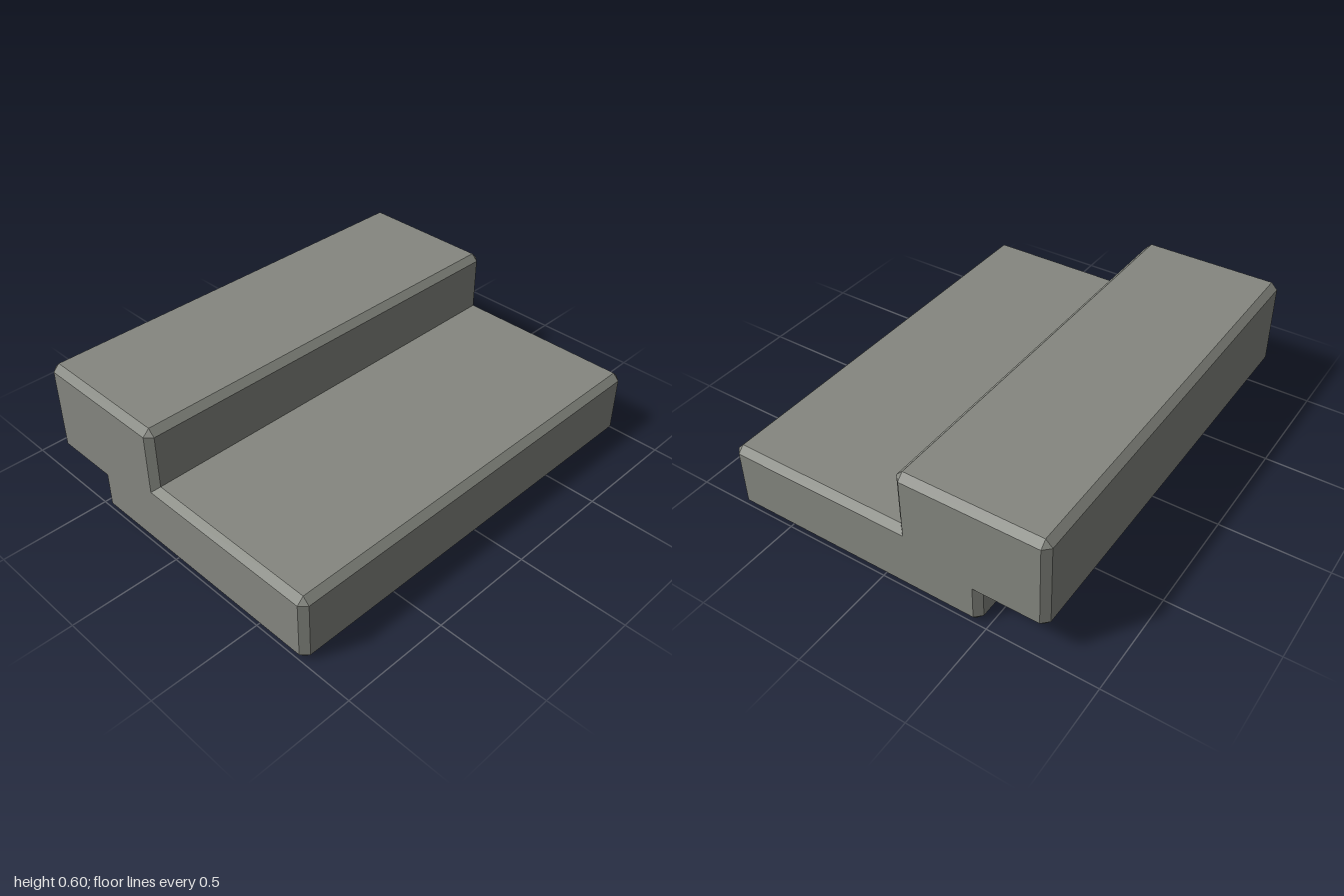
import * as THREE from 'three';

const BEVEL = 0.03;
const HALF_WIDTH = 1;

// Side profile as [-z, y], counterclockwise seen from +x
const PROFILE = [
  [-0.77, 0], [0.47, 0], [0.47, 0.16], [0.77, 0.16],
  [0.77, 0.6], [0.09, 0.6], [0.09, 0.32], [-0.77, 0.32],
].map(([u, y]) => new THREE.Vector2(u, y));

// Extrudes a right-angled profile along x, chamfering its convex edges and both ends
function chamferedExtrusion(profile, halfWidth, bevel) {
  const outer = [], inner = [], cap = [];
  profile.forEach((p, i) => {
    const n = profile.length;
    const d1 = p.clone().sub(profile[(i + n - 1) % n]).normalize();
    const d2 = profile[(i + 1) % n].clone().sub(p).normalize();
    const inset = new THREE.Vector2(p.x - (d1.y + d2.y) * bevel, p.y + (d1.x + d2.x) * bevel);
    cap.push(inset);
    if (d1.cross(d2) > 0) {
      outer.push(p.clone().addScaledVector(d1, -bevel), p.clone().addScaledVector(d2, bevel));
      inner.push(inset, inset);
    } else {
      outer.push(p);
      inner.push(inset);
    }
  });

  const at = (x, p) => new THREE.Vector3(x, p.y, -p.x);
  const positions = [];
  const triangle = (a, b, c) => {
    if (a.equals(b) || b.equals(c) || c.equals(a)) return;
    for (const v of [a, b, c]) positions.push(v.x, v.y, v.z);
  };

  // End chamfer, long faces, end chamfer
  const rings = [
    [-halfWidth, inner], [-halfWidth + bevel, outer],
    [halfWidth - bevel, outer], [halfWidth, inner],
  ].map(([x, points]) => points.map((p) => at(x, p)));
  for (let k = 0; k < 3; k++) {
    for (let i = 0; i < outer.length; i++) {
      const j = (i + 1) % outer.length;
      triangle(rings[k][i], rings[k][j], rings[k + 1][j]);
      triangle(rings[k][i], rings[k + 1][j], rings[k + 1][i]);
    }
  }

  // Flat ends
  for (const [a, b, c] of THREE.ShapeUtils.triangulateShape(cap, [])) {
    triangle(at(halfWidth, cap[a]), at(halfWidth, cap[b]), at(halfWidth, cap[c]));
    triangle(at(-halfWidth, cap[c]), at(-halfWidth, cap[b]), at(-halfWidth, cap[a]));
  }

  const geometry = new THREE.BufferGeometry();
  geometry.setAttribute('position', new THREE.Float32BufferAttribute(positions, 3));
  geometry.computeVertexNormals();
  return geometry;
}

export function createModel() {
  const stone = new THREE.MeshStandardMaterial({ color: 0x858780 });
  stone.name = 'stone grey';

  const group = new THREE.Group();
  group.name = 'stepBlock';
  const step = new THREE.Mesh(chamferedExtrusion(PROFILE, HALF_WIDTH, BEVEL), stone);
  step.name = 'step';
  group.add(step);
  return group;
}
